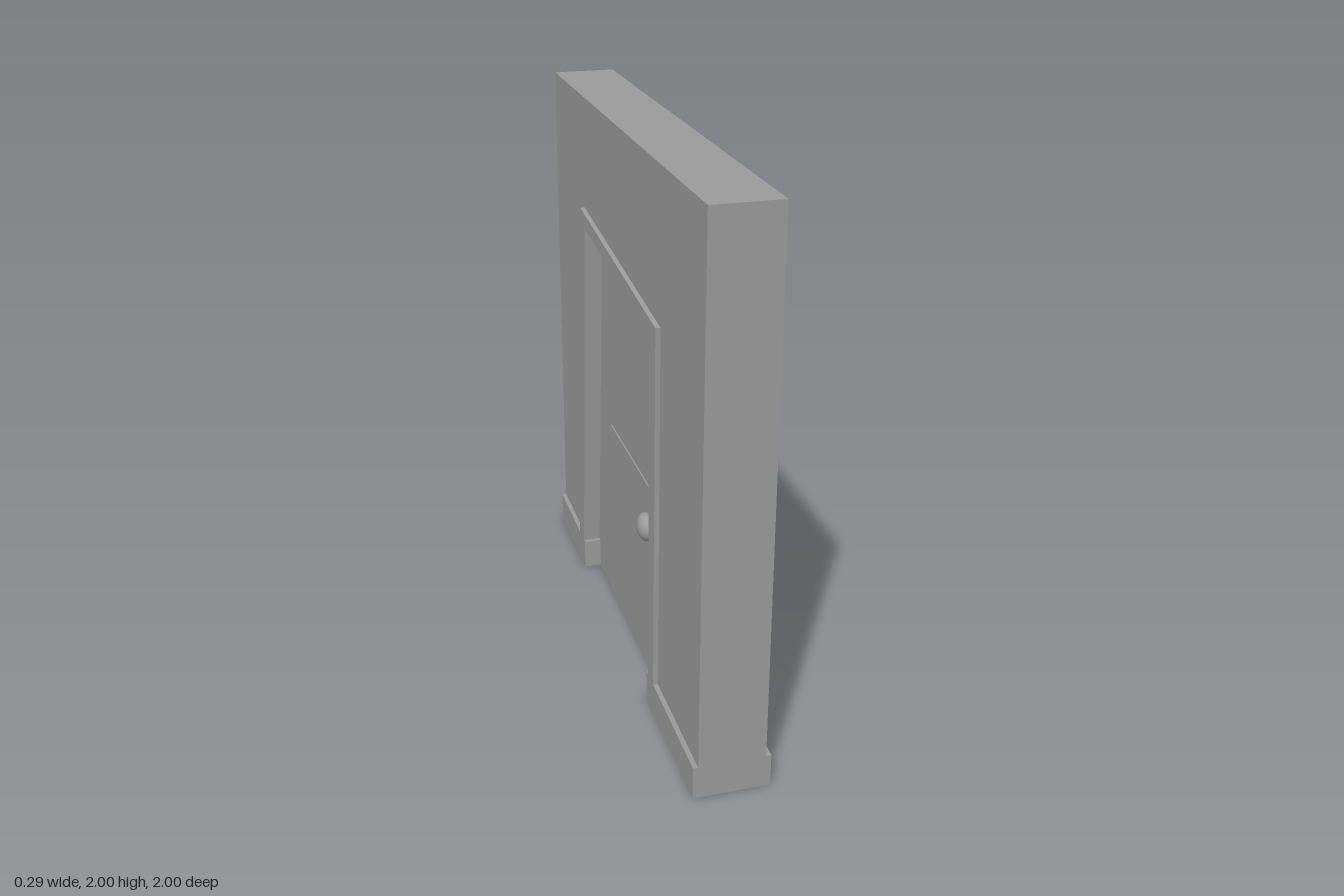
import * as THREE from 'three';

const material = new THREE.MeshStandardMaterial({ color: 0x9c9c9c });

// Depth limits along x
const WALL = [-0.11, 0.124], TRIM = [-0.127, 0.142], DOOR = [-0.046, 0.053];
const FACE = -0.06; // panelled face of the door

// Outlines are [z, y] points; the shape is drawn mirrored and turned to face x
const toPoints = (pts) => pts.map(([z, y]) => new THREE.Vector2(-z, y));

function slab(name, pts, [x0, x1], hole) {
  const shape = new THREE.Shape(toPoints(pts));
  if (hole) shape.holes.push(new THREE.Path(toPoints(hole)));
  const geo = new THREE.ExtrudeGeometry(shape, { depth: x1 - x0, bevelEnabled: false });
  geo.rotateY(Math.PI / 2);
  geo.translate(x0, 0, 0);
  const mesh = new THREE.Mesh(geo, material);
  mesh.name = name;
  return mesh;
}

const rect = (z0, z1, y0, y1) => [[z0, y0], [z1, y0], [z1, y1], [z0, y1]];

export function createModel() {
  const model = new THREE.Group();
  model.name = 'crookedDoorway';

  // Crooked opening: outer and inner edges of the door frame
  const outer = [[0.517, 0.12], [0.537, 1.476], [-0.515, 1.58], [-0.643, 0.12]];
  const inner = [[0.446, 0.12], [0.465, 1.427], [-0.447, 1.518], [-0.567, 0.12]];

  // Wall around the frame
  model.add(slab('wall', [[1, 0.12], [1, 2], [-1, 2], [-1, 0.12], ...[...outer].reverse()], WALL));

  // Frame lining the opening, proud of the wall on both sides
  model.add(slab('doorFrame', [...outer, ...[...inner].reverse()], TRIM));

  // Baseboards on each side of the opening
  model.add(slab('leftBaseboard', rect(0.431, 1, 0, 0.12), TRIM));
  model.add(slab('rightBaseboard', rect(-1, -0.552, 0, 0.12), TRIM));

  // Door: plain core plus a surround that leaves the panels recessed
  const door = new THREE.Group();
  door.name = 'door';
  const leaf = [[0.431, 0], [0.431, 0.12], ...inner, [-0.552, 0.12], [-0.552, 0]];
  const lower = [-0.413, 0.242, 0.11, 0.605], upper = [-0.355, 0.35, 0.742, 1.38];
  const [a, b, c, d] = rect(...lower), [e, f, g, h] = rect(...upper);
  door.add(slab('doorCore', leaf, DOOR));
  door.add(slab('doorSurround', leaf, [FACE, DOOR[0]], [a, b, c, f, g, h, e, d]));
  door.add(slab('middleRail', [d, c, f, e], [FACE + 0.002, DOOR[0]]));

  // Stepped moulding inside each panel
  for (const [name, [z0, z1, y0, y1]] of [['lowerMoulding', lower], ['upperMoulding', upper]]) {
    const m = 0.014;
    door.add(slab(name, rect(z0, z1, y0, y1), [FACE + 0.007, DOOR[0]],
      rect(z0 + m, z1 - m, y0 + m, y1 - m)));
  }

  // Knob with rosette and neck, turned on the x axis
  const profile = [[0, 0], [0.034, 0], [0.034, 0.006], [0.018, 0.012], [0.016, 0.024]];
  for (let i = 1; i <= 12; i++) {
    const t = -1.25 + (i / 12) * (Math.PI / 2 + 1.25);
    profile.push([Math.max(0, 0.051 * Math.cos(t)), 0.0525 + 0.032 * Math.sin(t)]);
  }
  const knob = new THREE.Mesh(
    new THREE.LatheGeometry(profile.map(([r, x]) => new THREE.Vector2(r, x)), 32), material);
  knob.name = 'doorKnob';
  knob.rotation.z = Math.PI / 2;
  knob.position.set(FACE, 0.677, 0.37);
  door.add(knob);
  model.add(door);

  return model;
}
